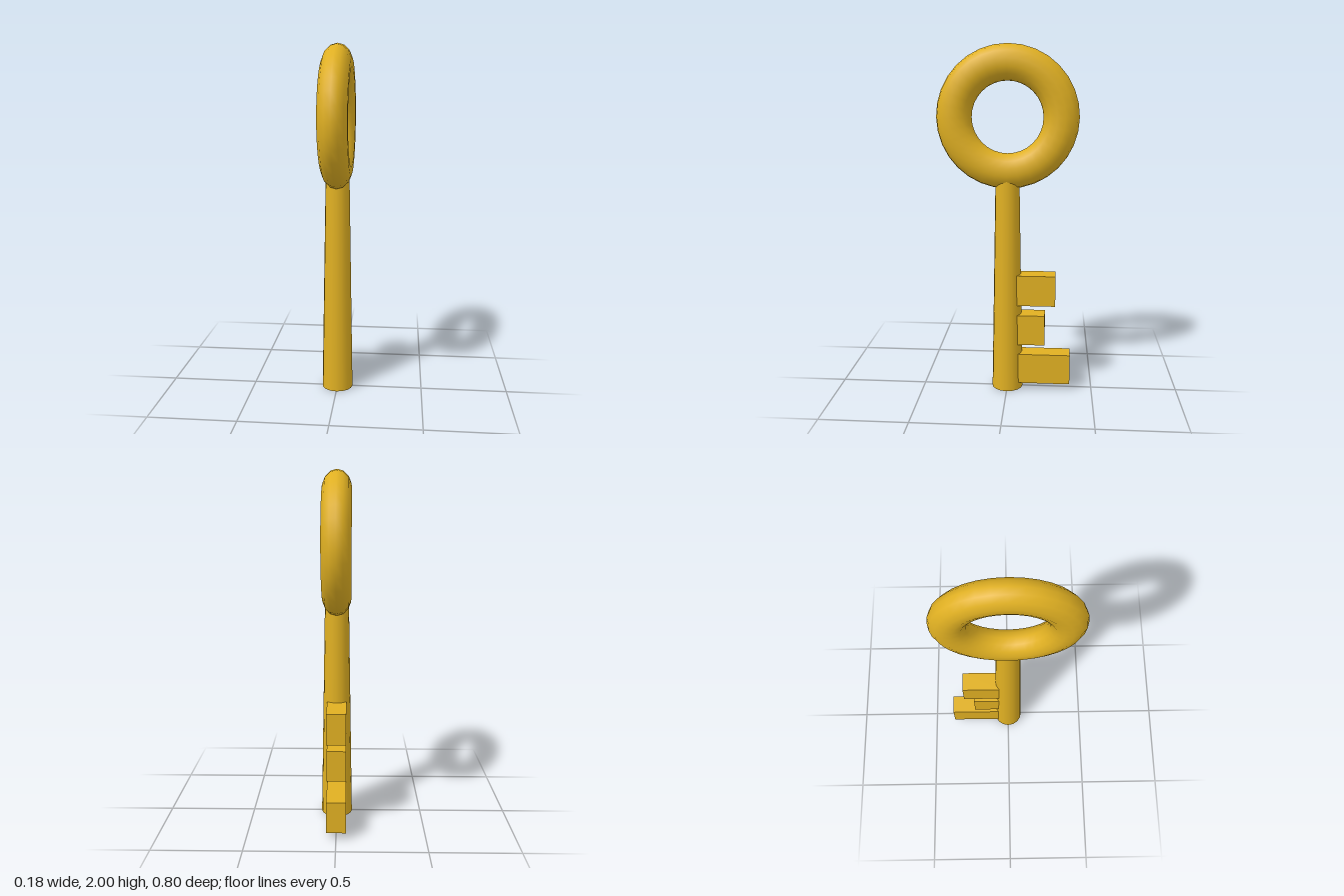
import * as THREE from 'three';

export function createModel() {
  const model = new THREE.Group();
  model.name = 'key';
  const gold = new THREE.MeshStandardMaterial({ color: 0xe0b022 });

  const add = (name, geometry, x, y, z) => {
    const mesh = new THREE.Mesh(geometry, gold);
    mesh.name = name;
    mesh.position.set(x, y, z);
    model.add(mesh);
    return mesh;
  };

  // Ring handle, facing sideways and slightly flattened
  const ring = new THREE.TorusGeometry(0.3, 0.1, 14, 32);
  ring.scale(1, 1, 0.82);
  ring.rotateY(Math.PI / 2);
  add('ringHandle', ring, 0, 1.6, 0);

  // Tapered shaft, its top buried in the ring
  const shaftHeight = 1.26;
  add('shaft', new THREE.CylinderGeometry(0.068, 0.09, shaftHeight, 16), 0, shaftHeight / 2, 0);

  // Teeth reaching backwards from inside the shaft: [centre height, reach]
  const inner = 0.04;
  [[0.13, 0.37], [0.37, 0.22], [0.61, 0.28]].forEach(([y, reach], i) => {
    add(`tooth${i + 1}`, new THREE.BoxGeometry(0.11, 0.18, reach - inner), 0, y, -(reach + inner) / 2);
  });

  return model;
}
